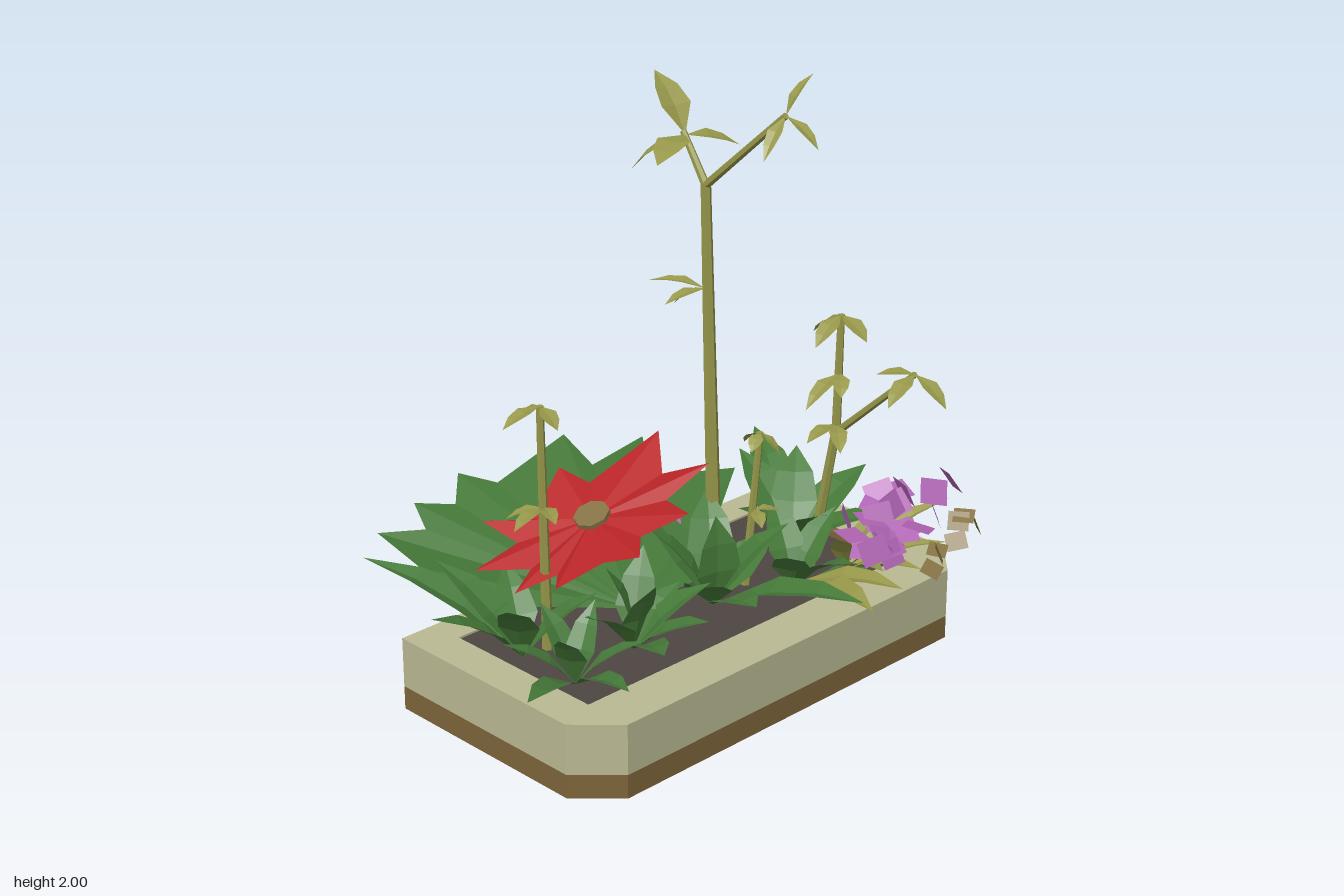
import * as THREE from 'three';
import { mergeGeometries } from 'three/addons/utils/BufferGeometryUtils.js';

const mat = (name, color) => new THREE.MeshStandardMaterial({ name, color, side: THREE.DoubleSide, flatShading: true });
const V = (a) => new THREE.Vector3(...a);

// Flat-shaded geometry from a list of triangles (each three Vector3s)
function fromTriangles(tris) {
  const g = new THREE.BufferGeometry().setFromPoints(tris.flat());
  g.computeVertexNormals();
  return g;
}

// Folded, arched pointed blade from base to tip
function leafTris(base, tip, width) {
  const d = tip.clone().sub(base);
  const side = new THREE.Vector3(d.z, 0, -d.x);
  if (side.length() < 0.02) side.set(1, 0, 0.3);
  side.normalize();
  const up = d.clone().cross(side).normalize();
  if (up.y < 0) up.negate();
  const len = d.length();
  const at = (t, w, h) => base.clone().addScaledVector(d, t).addScaledVector(side, w * width).addScaledVector(up, h * len);
  const m1 = at(0.4, 0, 0.07), m2 = at(0.7, 0, 0.06);
  const tris = [];
  for (const s of [1, -1]) {
    const a = at(0.4, s * 0.5, 0.11), b = at(0.7, s * 0.38, 0.09);
    const half = [[base, a, m1], [m1, a, b], [m1, b, m2], [m2, b, tip]];
    tris.push(...half.map(([p, q, r]) => (s > 0 ? [p, q, r] : [p, r, q])));
  }
  return tris;
}

export function createModel() {
  const root = new THREE.Group();
  root.name = 'planter';
  const cream = mat('cream stone', 0xb9b993), brown = mat('brown base', 0x7d6439), soilMat = mat('soil', 0x4e4641);
  const green = mat('leaf green', 0x467a39), olive = mat('olive stem', 0x97984a), red = mat('red petal', 0xb82426);
  const pink = mat('pink petal', 0xb065b4), tan = mat('tan bud', 0x857345);
  const add = (name, geo, m, parent = root) => {
    const mesh = new THREE.Mesh(geo, m);
    mesh.name = name;
    parent.add(mesh);
    return mesh;
  };
  let seed = 11;
  const rnd = () => ((seed = (seed * 16807) % 2147483647) / 2147483647) * 2 - 1;

  // Trough: open-bottomed walls, front corners cut
  const outline = [[-0.81, -0.42], [0.91, -0.42], [0.91, 0.34], [0.78, 0.47], [-0.68, 0.47], [-0.81, 0.34]];
  const wall = (y0, y1) => fromTriangles(outline.flatMap(([x, z], i) => {
    const [u, w] = outline[(i + 1) % outline.length];
    const a = V([x, y0, z]), b = V([u, y0, w]), c = V([u, y1, w]), d = V([x, y1, z]);
    return [[a, c, b], [a, d, c]];
  }));
  add('troughBase', wall(0, 0.08), brown);
  add('troughWall', wall(0.08, 0.25), cream);
  const hole = [[-0.68, -0.3], [0.73, -0.3], [0.73, 0.3], [-0.68, 0.3]];
  const flat = (pts, y, inner) => {
    const s = new THREE.Shape(pts.map((p) => new THREE.Vector2(p[0], -p[1])));
    if (inner) s.holes.push(new THREE.Path(inner.map((p) => new THREE.Vector2(p[0], -p[1]))));
    return new THREE.ShapeGeometry(s).rotateX(-Math.PI / 2).translate(0, y, 0);
  };
  add('troughRim', flat(outline, 0.25, hole), cream);
  add('soil', flat(hole, 0.243), soilMat);
  add('soilEdge', new THREE.BoxGeometry(0.03, 0.03, 0.3).translate(0.72, 0.25, 0.08), brown);

  // Large jagged leaf leaning out over the back
  const fan = [[-0.68, 0.36, -0.3], [-0.72, 0.46, -0.42], [-0.72, 0.51, -0.64], [-0.58, 0.5, -0.57], [-0.56, 0.56, -0.65],
    [-0.43, 0.53, -0.6], [-0.35, 0.59, -0.68], [-0.25, 0.55, -0.6], [0.08, 0.61, -0.64], [0.1, 0.53, -0.52],
    [0.37, 0.54, -0.56], [0.28, 0.46, -0.43], [0.6, 0.42, -0.34], [0.36, 0.33, -0.2], [0.25, 0.25, -0.06], [-0.5, 0.25, -0.06]].map(V);
  const fanRoot = V([-0.15, 0.25, -0.06]);
  add('backLeaf', fromTriangles(fan.slice(1).map((p, i) => [fanRoot, p, fan[i]])), green);

  // Leaf clusters: root, blade width, tips
  const cluster = (name, base, width, tips, m) =>
    add(name, fromTriangles(tips.flatMap((t) => leafTris(V(base), V(t), width))), m);
  cluster('leftBackLeaves', [-0.62, 0.25, -0.06], 0.13,
    [[-0.85, 0.5, -0.55], [-0.93, 0.47, -0.12], [-0.7, 0.5, -0.38], [-0.5, 0.46, -0.28], [-0.8, 0.52, 0.08], [-0.45, 0.47, 0.1]], green);
  cluster('leftFrontLeaves', [-0.62, 0.25, 0.18], 0.1,
    [[-0.92, 0.35, 0.3], [-0.7, 0.38, 0.5], [-0.82, 0.42, 0.08], [-0.5, 0.42, 0.36], [-0.75, 0.47, 0.25], [-0.62, 0.47, 0.02], [-0.5, 0.48, 0.14]], green);
  cluster('middleLeaves', [-0.34, 0.25, 0.14], 0.13,
    [[-0.46, 0.37, 0.4], [-0.25, 0.4, 0.38], [-0.58, 0.46, 0.18], [-0.14, 0.46, 0.28], [-0.4, 0.53, 0.08], [-0.22, 0.54, 0.06], [-0.12, 0.4, 0.12], [-0.34, 0.5, 0.24]], green);
  cluster('centreLeaves', [0.05, 0.25, 0.1], 0.16,
    [[-0.14, 0.42, 0.22], [-0.02, 0.36, 0.36], [0.18, 0.4, 0.63], [0.25, 0.52, 0.24], [-0.12, 0.54, -0.04], [0.06, 0.56, 0.1], [0.22, 0.55, -0.1], [0.33, 0.42, 0.1], [-0.02, 0.55, -0.2]], green);
  cluster('frontLeaves', [0.32, 0.25, 0.2], 0.13,
    [[0.27, 0.46, 0.5], [0.42, 0.36, 0.52], [0.52, 0.48, 0.2], [0.4, 0.5, 0.02], [0.18, 0.44, 0.3]], green);
  cluster('rightLeaves', [0.55, 0.25, -0.02], 0.16,
    [[0.81, 0.48, -0.45], [0.93, 0.43, -0.03], [0.6, 0.5, -0.32], [0.34, 0.44, -0.07], [0.72, 0.4, 0.24], [0.48, 0.46, 0.2], [0.76, 0.5, -0.2]], green);
  cluster('paleFrontLeaves', [0.3, 0.3, 0.25], 0.12, [[0.2, 0.37, 0.65], [0.4, 0.36, 0.6]], olive);

  // Red star flower, tilted up towards the left side
  const petals = [[-0.48, -0.41], [-0.38, -0.29], [-0.2, -0.35], [-0.18, -0.23], [0.06, -0.16], [-0.05, -0.03], [0.02, 0.11], [-0.13, 0.07],
    [-0.17, 0.21], [-0.28, 0.11], [-0.37, 0.2], [-0.41, 0.08], [-0.58, 0.05], [-0.51, -0.02], [-0.65, -0.06], [-0.53, -0.12], [-0.64, -0.26], [-0.47, -0.25]];
  const heart = V([-0.29, 0.6, -0.1]);
  const lift = (x, i) => 0.61 + 0.42 * (x + 0.29) + (i % 2 ? -0.01 : 0.02);
  const star = petals.map(([x, z], i) => V([x, lift(x, i), z]));
  add('redFlower', fromTriangles(star.map((p, i) => [heart, star[(i + 1) % star.length], p])), red);
  const disc = add('redFlowerCentre', new THREE.CylinderGeometry(0.06, 0.06, 0.015, 8), tan);
  disc.position.set(-0.29, 0.612, -0.1);
  disc.rotation.z = 0.4;

  // Stems: chains of tapered tubes, each with its small leaves
  const rod = (a, b, r0, r1) => {
    const p = V(a), d = V(b).sub(p), g = new THREE.CylinderGeometry(r1, r0, d.length(), 6);
    g.translate(0, d.length() / 2, 0);
    g.applyQuaternion(new THREE.Quaternion().setFromUnitVectors(new THREE.Vector3(0, 1, 0), d.clone().normalize()));
    return g.translate(p.x, p.y, p.z);
  };
  const stem = (name, rods, tufts) => {
    const grp = new THREE.Group();
    grp.name = name;
    root.add(grp);
    add('stalk', mergeGeometries(rods.map((r) => rod(...r))), olive, grp);
    const tris = tufts.flatMap(([base, w, ...tips]) => tips.flatMap((t) => leafTris(V(base), V(t), w)));
    add('stalkLeaves', fromTriangles(tris), olive, grp);
  };
  stem('tallStem', [
    [[0.22, 0.24, -0.06], [0.19, 1.6, -0.08], 0.026, 0.017],
    [[0.19, 1.59, -0.08], [0.195, 1.88, 0.25], 0.014, 0.011],
    [[0.19, 1.59, -0.08], [0.2, 1.74, -0.19], 0.014, 0.011],
  ], [
    [[0.195, 1.88, 0.25], 0.05, [0.28, 2.0, 0.28], [0.07, 1.77, 0.28], [0.2, 1.8, 0.38]],
    [[0.2, 1.73, -0.18], 0.11, [0.23, 1.9, -0.35], [0.34, 1.69, -0.08], [0.0, 1.69, -0.1], [0.1, 1.61, -0.32]],
    [[0.19, 1.25, -0.08], 0.06, [0.05, 1.22, -0.12], [0.1, 1.26, -0.24], [0.16, 1.18, -0.19]],
  ]);
  stem('leftStem', [[[-0.52, 0.24, -0.06], [-0.54, 1.07, -0.05], 0.018, 0.012]], [
    [[-0.54, 1.07, -0.05], 0.06, [-0.68, 1.03, -0.06], [-0.56, 1.0, -0.16], [-0.55, 1.02, 0.04]],
    [[-0.53, 0.73, -0.06], 0.055, [-0.68, 0.71, -0.02], [-0.61, 0.69, -0.14], [-0.6, 0.74, 0.08]],
  ]);
  stem('rightStem', [
    [[0.5, 0.24, 0.11], [0.5, 0.76, 0.21], 0.019, 0.016],
    [[0.5, 0.75, 0.21], [0.5, 1.16, 0.22], 0.016, 0.012],
    [[0.5, 0.75, 0.21], [0.49, 1.05, 0.54], 0.013, 0.01],
  ], [
    [[0.5, 1.16, 0.22], 0.07, [0.36, 1.09, 0.24], [0.48, 1.08, 0.12], [0.49, 1.1, 0.34]],
    [[0.49, 1.05, 0.54], 0.065, [0.33, 0.99, 0.57], [0.49, 0.97, 0.67], [0.42, 1.04, 0.44]],
    [[0.5, 0.96, 0.22], 0.06, [0.32, 0.89, 0.24], [0.42, 0.92, 0.3]],
    [[0.5, 0.78, 0.21], 0.06, [0.35, 0.76, 0.22], [0.4, 0.74, 0.32]],
  ]);
  stem('shortStem', [[[0.24, 0.24, 0.06], [0.26, 0.79, 0.1], 0.016, 0.011]], [
    [[0.26, 0.79, 0.1], 0.05, [0.19, 0.75, 0.13], [0.27, 0.73, 0.02], [0.29, 0.72, 0.16]],
    [[0.25, 0.52, 0.09], 0.05, [0.19, 0.5, 0.18], [0.33, 0.5, 0.13]],
  ]);

  // Scattered square blossoms within an ellipsoid
  const blossoms = (name, n, size, c, spread, m) => add(name, mergeGeometries(Array.from({ length: n }, () => {
    const g = new THREE.PlaneGeometry(size, size * 0.9).rotateX(-0.9 + rnd() * 0.5).rotateY(rnd() * 1.2).rotateZ(rnd() * 0.4);
    const t = rnd();
    return g.translate(c[0] + spread[0] * t, c[1] + spread[1] * (0.5 * t + 0.5 * rnd()), c[2] + spread[2] * rnd());
  })), m);
  blossoms('pinkBlossoms', 24, 0.095, [0.62, 0.46, 0.37], [0.2, 0.1, 0.13], pink);
  blossoms('pinkBackBlossoms', 9, 0.075, [0.1, 0.33, -0.27], [0.13, 0.07, 0.07], pink);
  blossoms('tanBuds', 8, 0.07, [0.72, 0.39, 0.5], [0.15, 0.08, 0.09], tan);
  blossoms('tanBackBuds', 5, 0.06, [0.08, 0.36, -0.3], [0.12, 0.06, 0.07], tan);
  cluster('blossomLeaves', [0.52, 0.26, 0.24], 0.08,
    [[0.88, 0.45, 0.38], [0.8, 0.34, 0.45], [0.42, 0.38, 0.5], [0.55, 0.36, 0.55], [0.36, 0.46, 0.36], [0.7, 0.5, 0.3]], olive);

  return root;
}
